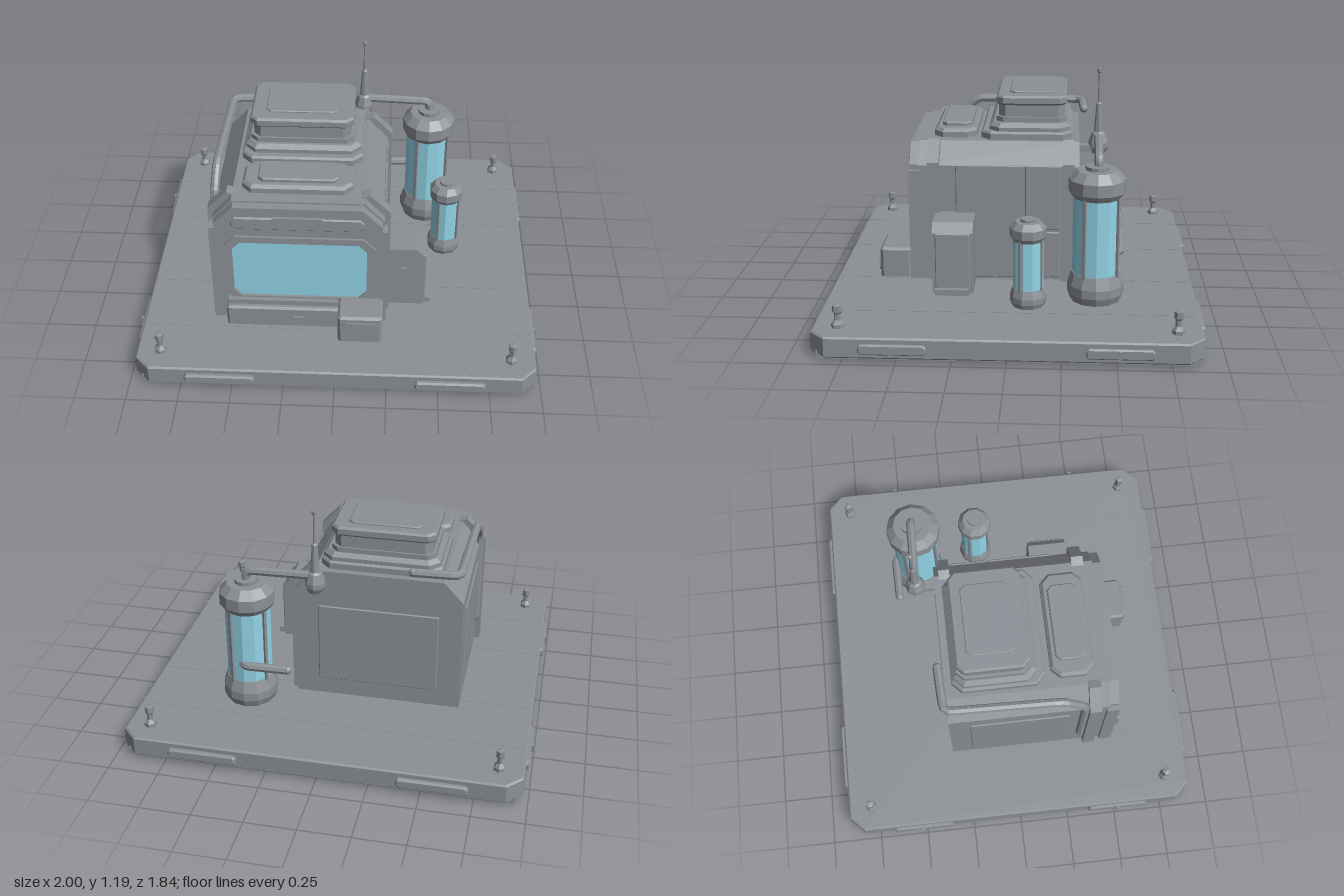
import * as THREE from 'three';

export function createModel() {
  const model = new THREE.Group();
  const grey = new THREE.MeshStandardMaterial({ color: 0x8c9096 });
  grey.name = 'hull grey';
  const glass = new THREE.MeshStandardMaterial({ color: 0x92d4e6 });
  glass.name = 'tinted glass';

  // Faceted mesh at a position
  function add(name, geometry, x = 0, y = 0, z = 0, material = grey, parent = model) {
    const geo = geometry.index ? geometry.toNonIndexed() : geometry;
    geo.computeVertexNormals();
    const mesh = new THREE.Mesh(geo, material);
    mesh.name = name;
    mesh.position.set(x, y, z);
    parent.add(mesh);
    return mesh;
  }

  // Box given by its limits on each axis
  function box(name, x0, x1, y0, y1, z0, z1) {
    return add(name, new THREE.BoxGeometry(x1 - x0, y1 - y0, z1 - z0),
      (x0 + x1) / 2, (y0 + y1) / 2, (z0 + z1) / 2);
  }

  // Rectangle with cut corners
  function cutRect(w, h, c, Type = THREE.Shape) {
    const a = w / 2, b = h / 2;
    return new Type([[-a + c, -b], [a - c, -b], [a, -b + c], [a, b - c],
      [a - c, b], [-a + c, b], [-a, b - c], [-a, -b + c]].map(p => new THREE.Vector2(...p)));
  }

  const extrude = (shape, depth, bevel = 0) => new THREE.ExtrudeGeometry(shape, {
    depth: depth - bevel, bevelEnabled: bevel > 0, bevelThickness: bevel,
    bevelSize: bevel, bevelOffset: -bevel, bevelSegments: 1, curveSegments: 1
  });

  // Horizontal slab with cut corners and an optional sloped upper edge
  function slab(name, x0, x1, y0, y1, z0, z1, cut, bevel = 0) {
    const geo = extrude(cutRect(x1 - x0, z1 - z0, cut), y1 - y0, bevel).rotateX(-Math.PI / 2);
    return add(name, geo, (x0 + x1) / 2, y0, (z0 + z1) / 2);
  }

  // Round pipe through points with rounded corners and closed ends
  function pipe(name, points, radius, bend = 0.05) {
    const p = points.map(q => new THREE.Vector3(...q));
    const path = new THREE.CurvePath();
    let last = p[0];
    for (let i = 1; i < p.length - 1; i++) {
      const a = p[i].clone().add(p[i - 1].clone().sub(p[i]).setLength(bend));
      const b = p[i].clone().add(p[i + 1].clone().sub(p[i]).setLength(bend));
      path.add(new THREE.LineCurve3(last, a));
      path.add(new THREE.QuadraticBezierCurve3(a, p[i], b));
      last = b;
    }
    path.add(new THREE.LineCurve3(last, p[p.length - 1]));
    add(name, new THREE.TubeGeometry(path, 48, radius, 8));
    for (const end of [p[0], p[p.length - 1]])
      add(name + 'End', new THREE.SphereGeometry(radius, 8, 6), end.x, end.y, end.z);
  }

  const lathe = (pts, sides) =>
    new THREE.LatheGeometry(pts.map(q => new THREE.Vector2(...q)), sides);

  // Platform
  box('platformUnderside', -0.94, 0.94, 0, 0.04, -0.87, 0.87);
  slab('platformDeck', -0.973, 0.973, 0.025, 0.12, -0.9, 0.9, 0.073, 0.008);
  for (const x of [-0.66, -0.235, 0.235, 0.66])
    box('deckSeam', x - 0.002, x + 0.002, 0.1, 0.1215, -0.885, 0.885);
  for (const z of [-0.6, -0.26, 0.26, 0.6])
    box('deckSeam', -0.96, 0.96, 0.1, 0.1215, z - 0.002, z + 0.002);

  // Edge plates and corner posts
  for (const s of [-1, 1]) for (const t of [-1, 1]) {
    const front = add('edgePlate', extrude(cutRect(0.34, 0.05, 0.012), 0.022, 0.008),
      t * 0.556, 0.067, s * 0.899);
    if (s < 0) front.rotation.y = Math.PI;
    const side = add('sideEdgePlate', extrude(cutRect(0.31, 0.05, 0.012), 0.016, 0.006),
      s * 0.972, 0.067, t * 0.515);
    side.rotation.y = s * Math.PI / 2;
    box('edgeStud', s * 0.99 - 0.01, s * 0.99 + 0.01, 0.05, 0.085, t * 0.515 - 0.008, t * 0.515 + 0.008);
    add('cornerPost', lathe([[0, 0], [0.03, 0], [0.03, 0.02], [0.015, 0.04], [0.015, 0.07],
      [0.022, 0.078], [0.022, 0.11], [0, 0.115]], 6), t * 0.855, 0.118, s * 0.78);
  }

  // House shell: a box section with sloped shoulders
  const cx = -0.19;
  const section = (half, top) => new THREE.Shape([[-half, 0.115], [half, 0.115], [half, 0.715],
    [half - 0.095, top], [-half + 0.095, top], [-half, 0.715]].map(p => new THREE.Vector2(...p)));
  add('houseShell', extrude(section(0.415, 0.82), 0.8), cx, 0, -0.325);

  // Front wall with window opening
  const fascia = section(0.405, 0.812);
  const winY = 0.44, winX = 0.005;
  const opening = cutRect(0.68, 0.355, 0.045, THREE.Path);
  opening.curves.forEach(c => { for (const v of [c.v1, c.v2]) v.x += winX; });
  const hole = new THREE.Path(cutRect(0.68, 0.355, 0.045).getPoints()
    .map(p => new THREE.Vector2(p.x + winX, p.y + winY)));
  fascia.holes.push(hole);
  add('frontWall', extrude(fascia, 0.045), cx, 0, 0.475);
  const trim = cutRect(0.74, 0.41, 0.06);
  trim.holes.push(cutRect(0.655, 0.34, 0.04, THREE.Path));
  add('windowFrame', extrude(trim, 0.03), cx + winX, winY, 0.502);
  add('windowGlass', extrude(cutRect(0.69, 0.36, 0.045), 0.008), cx + winX, winY, 0.51, glass);
  add('frontHeader', extrude(cutRect(0.64, 0.07, 0.02), 0.012, 0.006), cx, 0.725, 0.518);
  box('headerVent', -0.31, -0.07, 0.75, 0.765, 0.52, 0.534);

  // Front sill and bench box
  slab('frontSill', -0.55, 0.2, 0.115, 0.235, 0.5, 0.58, 0.01, 0.01);
  box('sillLedge', -0.54, 0.19, 0.23, 0.262, 0.5, 0.555);
  box('sillBracket', -0.215, -0.165, 0.15, 0.185, 0.57, 0.59);
  slab('benchBox', 0.005, 0.225, 0.12, 0.275, 0.52, 0.68, 0.015, 0.012);
  add('benchBoxPanel', extrude(cutRect(0.17, 0.1, 0.015), 0.008), 0.115, 0.195, 0.68);

  // Side ribs that follow the shoulder
  function rib(side, z0, width) {
    const shape = new THREE.Shape([[0.38, 0.115], [0.442, 0.115], [0.442, 0.735], [0.345, 0.835],
      [0.3, 0.82], [0.38, 0.7]].map(([x, y]) => new THREE.Vector2(side * x, y)));
    add('sideRib', extrude(shape, width), cx, 0, z0);
  }
  rib(1, 0.37, 0.06);
  rib(1, -0.3, 0.055);
  rib(-1, 0.37, 0.06);
  for (const s of [-1, 1]) {
    const x = cx + s * 0.41;
    box('frontCorner', x - 0.02, x + 0.02, 0.115, 0.69, 0.46, 0.523);
  }

  // Wall panels
  const panel = (name, w, h, x, y, z, turn) => {
    add(name, extrude(cutRect(w, h, 0.005), 0.009, 0.004), x, y, z).rotation.y = turn;
  };
  panel('sideDoor', 0.335, 0.59, 0.224, 0.425, 0.122, Math.PI / 2);
  panel('sideUpperPanel', 0.175, 0.33, 0.224, 0.555, -0.145, Math.PI / 2);
  panel('sideLowerPanel', 0.175, 0.24, 0.224, 0.255, -0.145, Math.PI / 2);
  panel('farSidePanel', 0.5, 0.42, -0.604, 0.43, 0.03, -Math.PI / 2);
  panel('backPanel', 0.6, 0.42, cx, 0.42, -0.324, Math.PI);

  // Roof steps
  slab('rearRoofBase', -0.49, 0.11, 0.815, 0.86, -0.29, 0.17, 0.05, 0.01);
  slab('rearRoofStep', -0.475, 0.1, 0.855, 0.9, -0.28, 0.13, 0.05, 0.02);
  slab('roofUnitFoot', -0.45, 0.06, 0.9, 0.925, -0.26, 0.095, 0.035);
  slab('roofUnit', -0.435, 0.045, 0.92, 1.0, -0.25, 0.085, 0.035);
  slab('roofUnitLid', -0.45, 0.06, 0.995, 1.033, -0.26, 0.095, 0.035, 0.01);
  slab('roofUnitCap', -0.375, -0.015, 1.03, 1.042, -0.205, 0.03, 0.025, 0.004);
  slab('frontRoofBase', -0.465, 0.07, 0.815, 0.862, 0.195, 0.41, 0.045, 0.015);
  slab('frontRoofCap', -0.39, 0, 0.86, 0.882, 0.225, 0.375, 0.025, 0.006);

  // Cabinet beside the house
  const cabinet = new THREE.Shape([[0.22, 0.115], [0.43, 0.115], [0.43, 0.43], [0.39, 0.475],
    [0.22, 0.475]].map(p => new THREE.Vector2(...p)));
  add('cabinet', extrude(cabinet, 0.2), 0, 0, 0.19);
  panel('cabinetDoor', 0.17, 0.29, 0.429, 0.285, 0.29, Math.PI / 2);
  box('cabinetFoot', 0.42, 0.465, 0.115, 0.15, 0.21, 0.375);
  box('cabinetHandle', 0.31, 0.34, 0.24, 0.36, 0.385, 0.402);

  // Storage tanks: base, glass, guard bars and cap
  function tank(name, x, z, r, glassLow, glassHigh, top, sides) {
    const g = new THREE.Group();
    g.name = name;
    g.position.set(x, 0, z);
    model.add(g);
    const h = top - glassHigh, b = glassLow - 0.115;
    add('tankBase', lathe([[0, 0.115], [r * 0.88, 0.115], [r, 0.115 + b * 0.3], [r, 0.115 + b * 0.6],
      [r * 0.86, glassLow], [0, glassLow]], sides), 0, 0, 0, grey, g);
    add('tankGlass', new THREE.CylinderGeometry(r * 0.83, r * 0.83, glassHigh - glassLow + 0.01, sides),
      0, (glassLow + glassHigh) / 2, 0, glass, g);
    add('tankCap', lathe([[0, glassHigh], [r * 0.86, glassHigh], [r, glassHigh + h * 0.2],
      [r, glassHigh + h * 0.6], [r * 0.72, glassHigh + h * 0.88], [r * 0.42, glassHigh + h * 0.88],
      [r * 0.42, top], [0, top]], sides), 0, 0, 0, grey, g);
    for (let i = 0; i < 4; i++) {
      const a = Math.PI / 4 + i * Math.PI / 2 + 0.25;
      const bar = add('guardBar', new THREE.BoxGeometry(r * 0.12, glassHigh - glassLow + 0.02, r * 0.12),
        Math.sin(a) * r * 0.84, (glassLow + glassHigh) / 2, Math.cos(a) * r * 0.84, grey, g);
      bar.rotation.y = a;
    }
  }
  tank('largeTank', 0.447, -0.41, 0.138, 0.26, 0.64, 0.79, 12);
  tank('smallTank', 0.545, -0.085, 0.088, 0.21, 0.45, 0.555, 10);

  // Pipes
  pipe('tankPipe', [[0.447, 0.77, -0.415], [0.447, 0.835, -0.415], [0.1, 0.845, -0.42]], 0.022, 0.04);
  pipe('tankDrainPipe', [[0.22, 0.36, -0.525], [0.43, 0.36, -0.53], [0.46, 0.36, -0.5]], 0.022, 0.02);
  pipe('roofPipe', [[-0.36, 0.875, -0.35], [-0.585, 0.875, -0.34], [-0.6, 0.875, 0.24],
    [-0.605, 0.77, 0.35], [-0.605, 0.27, 0.35]], 0.022, 0.04);

  // Antenna mast on a wall bracket
  box('antennaBracket', 0.075, 0.125, 0.77, 0.8, -0.42, -0.31);
  add('antenna', lathe([[0, 0.76], [0.035, 0.76], [0.05, 0.79], [0.05, 0.815], [0.035, 0.86],
    [0.024, 0.87], [0.014, 1.01], [0.007, 1.02], [0.006, 1.165], [0.011, 1.17], [0.011, 1.185],
    [0, 1.19]], 8), 0.1, 0, -0.42);

  return model;
}
